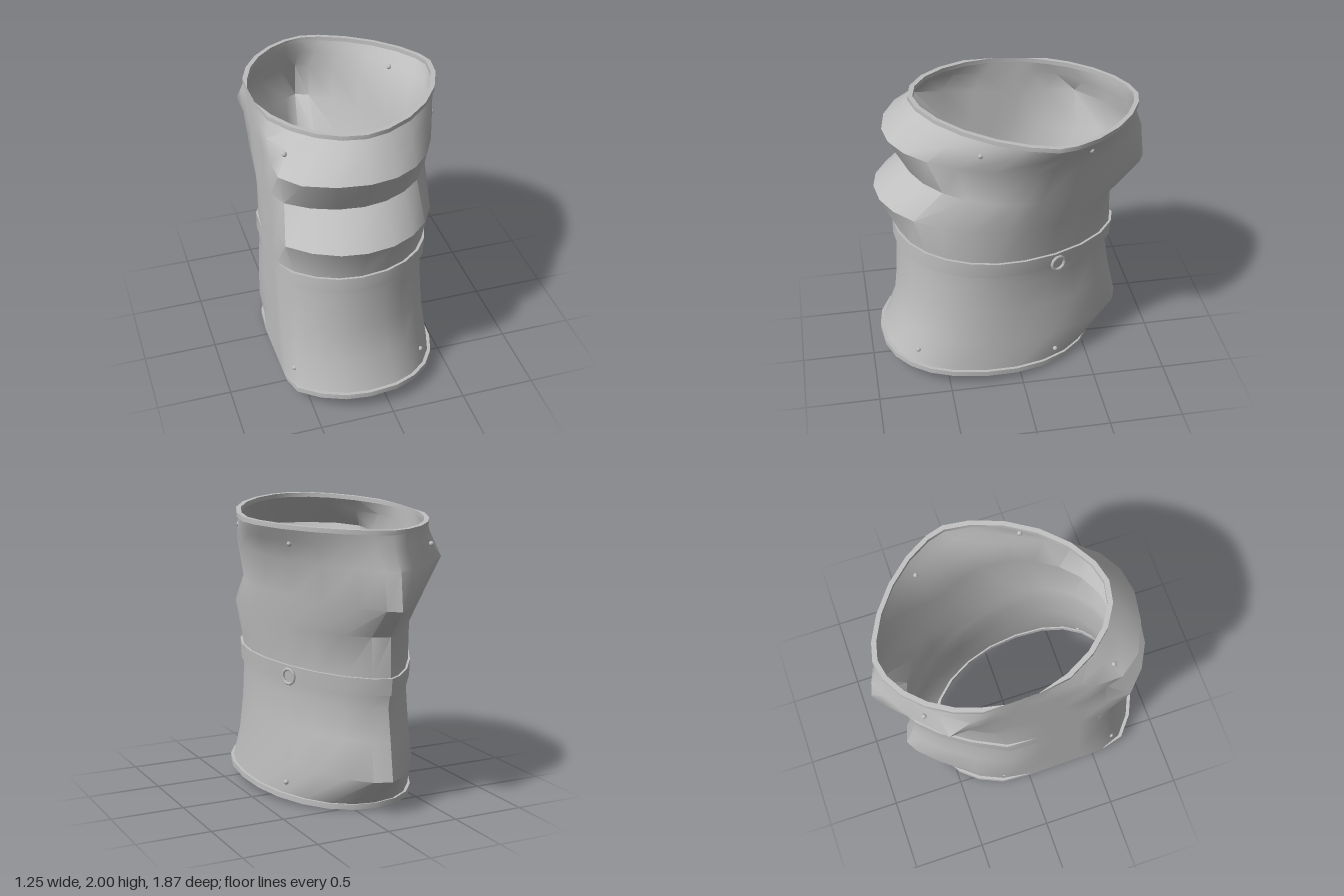
import * as THREE from 'three';
import { toCreasedNormals } from 'three/addons/utils/BufferGeometryUtils.js';

const SEGMENTS = 24;
const FLAT_X = -0.625; // the right flank is pressed flat against this plane
const SLOPE = 0.075; // every ring tips up towards the front

const grey = new THREE.MeshStandardMaterial({ color: 0xc0c0c0, side: THREE.DoubleSide });
grey.name = 'light grey';

// One ring: front, back and side reach, widest depth zc, and where the flat flank begins and ends.
// pf sets how full the front left corner is; pr, pl how pointed the back is beside its ridge.
const row = (y, front, back, side, zc, xc, flatFront, flatBack, pf, pr, pl) =>
  ({ y, front, back, side, zc, xc, flatFront, flatBack, pf, pr, pl });

const rows = [
  row(0.07, 0.91, -0.56, 0.44, 0.25, -0.14, 0.65, -0.06, 2.4, 2.0, 2.3), // lower hem
  row(0.30, 0.82, -0.79, 0.42, 0.22, -0.15, 0.57, -0.20, 2.3, 1.75, 1.4),
  row(0.55, 0.79, -0.735, 0.41, 0.20, -0.16, 0.52, -0.13, 2.2, 1.7, 1.4),
  row(0.77, 0.78, -0.70, 0.405, 0.20, -0.16, 0.49, -0.10, 2.15, 1.7, 1.4), // waist
  row(0.86, 0.78, -0.72, 0.41, 0.18, -0.16, 0.49, -0.10, 2.15, 1.7, 1.4),
  row(0.975, 0.78, -0.73, 0.42, 0.16, -0.16, 0.49, -0.11, 2.15, 1.7, 1.4),
  row(1.24, 0.91, -0.72, 0.46, 0.10, -0.16, 0.66, -0.13, 2.15, 1.65, 1.4), // lower fold
  row(1.455, 0.70, -0.935, 0.475, 0.02, -0.12, 0.44, -0.28, 1.95, 1.4, 1.35), // crease
  row(1.70, 0.835, -0.91, 0.49, -0.06, -0.12, 0.63, -0.58, 2.15, 1.45, 1.3), // upper fold
  row(1.83, 0.73, -0.86, 0.56, -0.13, -0.10, 0.33, -0.42, 1.85, 1.5, 1.5),
  row(1.935, 0.64, -0.85, 0.605, -0.19, -0.09, 0.08, -0.04, 1.7, 1.55, 1.8), // upper hem
];

// Points of a ring, grown outward by an offset
function ring(r, grow = 0, y = r.y) {
  const points = [];
  for (let i = 0; i < SEGMENTS; i++) {
    const t = (i / SEGMENTS) * Math.PI * 2;
    const c = Math.cos(t), s = Math.sin(t);
    const isFront = s >= 0, isSide = c >= 0;
    const p = isFront ? (isSide ? r.pf : 1.95) : isSide ? r.pr : r.pl;
    const depth = (isFront ? r.front : r.back) - r.zc;
    let width = r.side - r.xc;
    if (!isSide) {
      // widen the flank until it meets the flat plane at the chosen depth
      const flat = isFront ? r.flatFront : r.flatBack;
      const k = Math.max(0, (flat - r.zc) / depth);
      width = (r.xc - FLAT_X) / Math.pow(1 - Math.pow(k, p), 1 / p);
    }
    const x = r.xc + Math.sign(c) * Math.pow(Math.abs(c), 2 / p) * (width + grow);
    const z = r.zc + Math.pow(Math.abs(s), 2 / p) * (depth + Math.sign(depth) * grow);
    points.push(new THREE.Vector3(Math.max(FLAT_X, x), y + SLOPE * z, z));
  }
  return points;
}

// Skin a stack of rings
function skin(name, rings, crease) {
  const position = rings.flat().flatMap((v) => [v.x, v.y, v.z]);
  const index = [];
  for (let i = 0; i < rings.length - 1; i++) {
    for (let j = 0; j < SEGMENTS; j++) {
      const a = i * SEGMENTS + j, b = i * SEGMENTS + ((j + 1) % SEGMENTS);
      index.push(a, a + SEGMENTS, b, b, a + SEGMENTS, b + SEGMENTS);
    }
  }
  const geometry = new THREE.BufferGeometry();
  geometry.setAttribute('position', new THREE.Float32BufferAttribute(position, 3));
  geometry.setIndex(index);
  const mesh = new THREE.Mesh(toCreasedNormals(geometry, crease), grey);
  mesh.name = name;
  return mesh;
}

// Closed rectangular band following the sleeve between two rings
const band = (name, low, high, y0, y1, inner, outer) =>
  skin(name, [
    ring(low, outer, y0), ring(high, outer, y1),
    ring(high, inner, y1), ring(low, inner, y0), ring(low, outer, y0),
  ], 0.6);

export function createModel() {
  const group = new THREE.Group();
  group.name = 'sleeve';

  group.add(skin('sleeveBody', rows.map((r) => ring(r)), 0.75));

  // Hems and belt
  const bottom = rows[0], top = rows[rows.length - 1];
  group.add(band('lowerHem', bottom, bottom, 0.045, 0.082, -0.012, 0.02));
  group.add(band('upperHem', top, top, 1.922, 1.951, -0.015, 0.018));
  group.add(band('belt', rows[4], rows[5], 0.86, 0.975, 0, 0.018));

  // Belt ring
  const eyelet = new THREE.Mesh(new THREE.TorusGeometry(0.05, 0.011, 6, 10), grey);
  eyelet.name = 'beltRing';
  eyelet.position.set(0.345, 0.885, -0.26);
  eyelet.rotation.y = Math.PI / 2 + 0.4;
  group.add(eyelet);

  // Rivets near both hems
  const studs = [
    [0.46, 1.84, 0.27], [0.42, 1.785, -0.44], [-0.57, 1.87, 0.52], [-0.48, 1.76, -0.67],
    [0.29, 0.23, 0.70], [0.36, 0.16, -0.25], [-0.58, 0.24, 0.64], [-0.59, 0.17, -0.19],
  ];
  const studGeometry = new THREE.SphereGeometry(0.017, 8, 6);
  for (const [x, y, z] of studs) {
    const stud = new THREE.Mesh(studGeometry, grey);
    stud.name = 'rivet';
    stud.position.set(x, y, z);
    group.add(stud);
  }
  return group;
}
